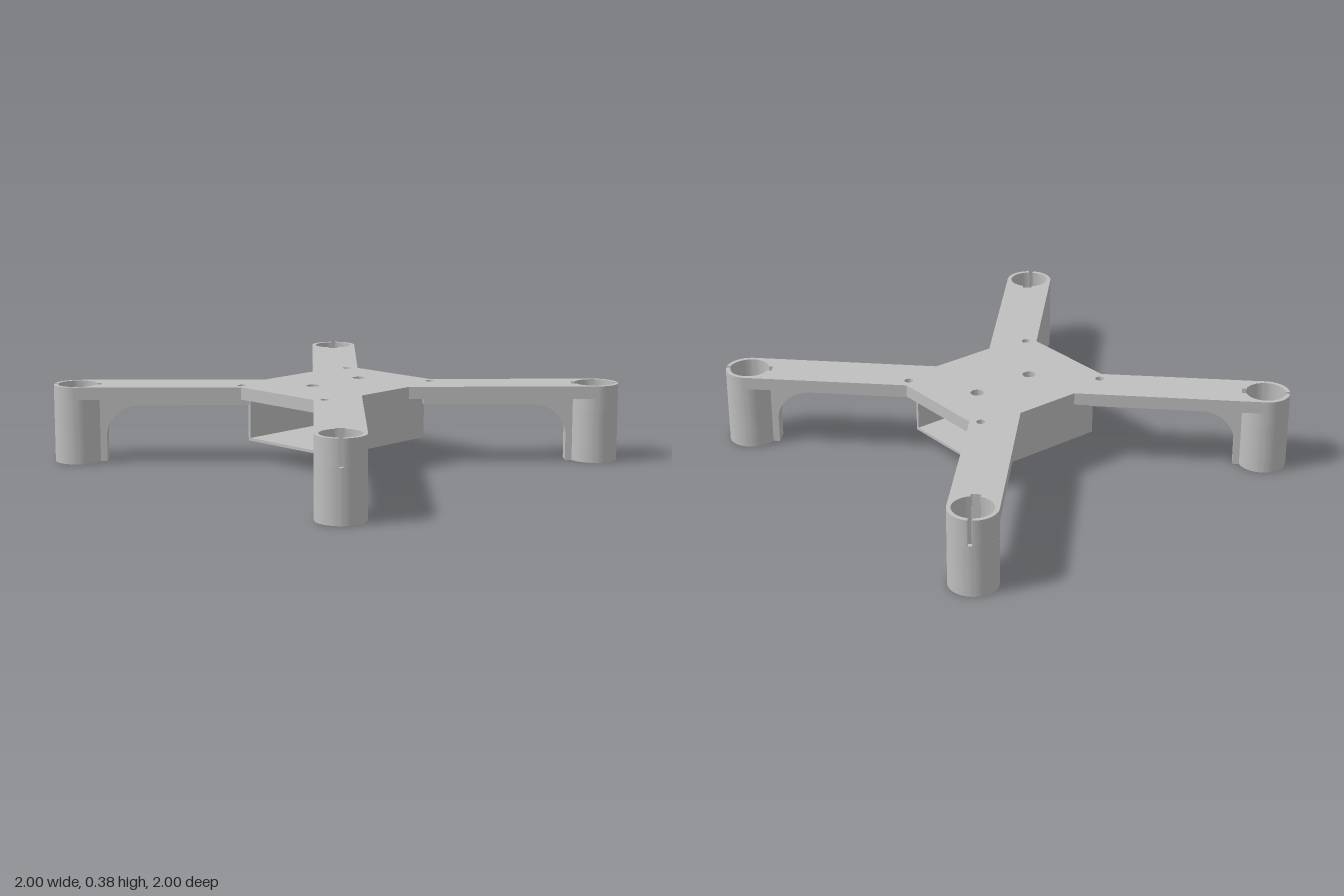
import * as THREE from 'three';
import { toCreasedNormals } from 'three/addons/utils/BufferGeometryUtils.js';

const TOP = 0.375, PLATE_Y = 0.315;
const TOWER = 0.885, R = 0.115;          // tower centre offset and outer radius
const NECK_W = 0.04, NECK_S = 0.14;      // half width and reach of the neck facing the hub
const NOTCH_W = 0.023, NOTCH_S = 0.114;  // wire notch beside the bore
const SLOT_W = 0.01;                     // half width of the outer slot

const P = (x, y) => new THREE.Vector2(x, y);

function arc(cx, cy, r, a0, a1, n = 32) {
  const pts = [];
  for (let i = 0; i <= n; i++) {
    const a = a0 + (a1 - a0) * i / n;
    pts.push(P(cx + r * Math.cos(a), cy + r * Math.sin(a)));
  }
  return pts;
}

// Extrudes a plan outline upwards from y0 to y1
function slab(shape, y0, y1) {
  const g = new THREE.ExtrudeGeometry(shape, { depth: y1 - y0, bevelEnabled: false, curveSegments: 24 });
  g.rotateX(-Math.PI / 2);
  g.translate(0, y0, 0);
  return toCreasedNormals(g, 0.5);
}

// Tower cross-section; local +x points to the hub, the slot is on -x
function towerSection(bore, slotted) {
  const dOut = slotted ? Math.asin(SLOT_W / R) : 0;
  const dIn = slotted ? Math.asin(SLOT_W / bore) : 0;
  const a = Math.asin(NECK_W / R), b = Math.asin(NOTCH_W / bore);
  const outer = [
    ...arc(0, 0, R, -Math.PI + dOut, -a),
    P(NECK_S, -NECK_W), P(NECK_S, NECK_W),
    ...arc(0, 0, R, a, Math.PI - dOut),
  ];
  const inner = [
    ...arc(0, 0, bore, Math.PI - dIn, b),
    P(NOTCH_S, NOTCH_W), P(NOTCH_S, -NOTCH_W),
    ...arc(0, 0, bore, -b, -Math.PI + dIn),
  ];
  if (slotted) return new THREE.Shape([...outer, ...inner]);
  outer.pop();
  inner.pop();
  const s = new THREE.Shape(outer);
  s.holes.push(new THREE.Path(inner));
  return s;
}

export function createModel() {
  const model = new THREE.Group();
  model.name = 'quadFrame';
  const grey = new THREE.MeshStandardMaterial({ color: 0xbfbfbf });
  grey.name = 'lightGrey';

  const add = (parent, name, geo) => {
    const m = new THREE.Mesh(geo, grey);
    m.name = name;
    parent.add(m);
    return m;
  };

  // Top plate: hub and four arms, each ending in a hollow against its tower
  const quarter = [
    P(0.325, 0.165),
    ...arc(TOWER, TOWER, R, -Math.PI / 4, -Math.PI * 1.25),
    P(0.245, 0.405),
  ];
  const outline = [];
  for (const [sx, sy] of [[1, 1], [-1, 1], [-1, -1], [1, -1]]) {
    const pts = quarter.map(p => P(p.x * sx, p.y * sy));
    outline.push(...(sx * sy > 0 ? pts : pts.reverse()));
  }
  const plate = new THREE.Shape(outline);
  const hole = (x, z, r) => {
    const h = new THREE.Path();
    h.absarc(x, -z, r, 0, Math.PI * 2, true);
    plate.holes.push(h);
  };
  for (const x of [-0.28, 0.28]) for (const z of [-0.365, 0.365]) hole(x, z, 0.021);
  hole(-0.03, -0.19, 0.032);
  hole(-0.03, 0.13, 0.032);
  add(model, 'topPlate', slab(plate, PLATE_Y, TOP));

  // Open-ended tray below the hub
  const tray = new THREE.Group();
  tray.name = 'tray';
  model.add(tray);
  const h = PLATE_Y - 0.1;
  for (const s of [-1, 1]) {
    add(tray, s > 0 ? 'trayWallLeft' : 'trayWallRight', new THREE.BoxGeometry(0.014, h, 0.65))
      .position.set(s * 0.271, 0.1 + h / 2, 0);
  }
  add(tray, 'trayFloor', new THREE.BoxGeometry(0.528, 0.014, 0.65)).position.set(0, 0.107, 0);

  // Tower layers: open foot, inner ledge, plain bore, slotted top
  const layers = [
    ['towerFoot', slab(towerSection(0.095, false), 0, 0.04)],
    ['towerLedge', slab(towerSection(0.08, false), 0.04, 0.065)],
    ['towerBody', slab(towerSection(0.095, false), 0.065, 0.25)],
    ['towerTop', slab(towerSection(0.095, true), 0.25, TOP)],
  ];

  // Rib under each arm, curving down into the tower neck
  const ribEnd = TOWER * Math.SQRT2 - 0.42;
  const curve = arc(0.30, 0.12, 1, Math.PI, Math.PI / 2, 16)
    .map(p => P(0.30 + (p.x - 0.30) * 0.161, 0.12 + (p.y - 0.12) * 0.155));
  const rib = new THREE.ExtrudeGeometry(
    new THREE.Shape([P(0.139, PLATE_Y), ...curve, P(ribEnd, 0.275), P(ribEnd, PLATE_Y)]),
    { depth: NECK_W * 2, bevelEnabled: false });
  rib.translate(0, 0, -NECK_W);
  const ribGeo = toCreasedNormals(rib, 0.5);

  const names = ['frontLeft', 'frontRight', 'backRight', 'backLeft'];
  names.forEach((name, i) => {
    const t = Math.PI / 4 + i * Math.PI / 2;
    const g = new THREE.Group();
    g.name = name + 'Tower';
    g.position.set(Math.cos(t) * TOWER * Math.SQRT2, 0, Math.sin(t) * TOWER * Math.SQRT2);
    g.rotation.y = Math.PI - t;
    for (const [n, geo] of layers) add(g, n, geo);
    add(g, 'armRib', ribGeo);
    model.add(g);
  });

  return model;
}
